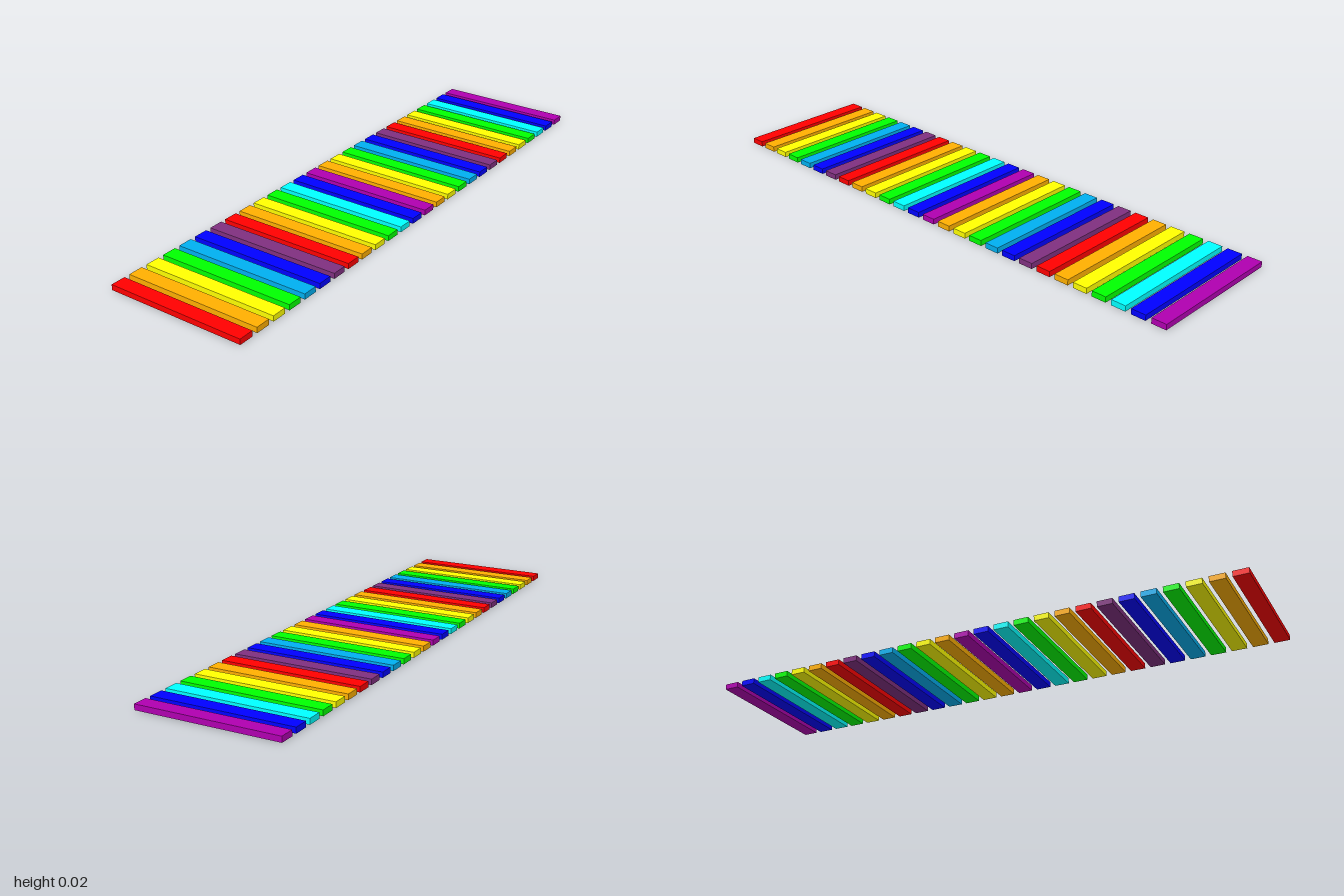
import * as THREE from 'three';

const RED = 0xff0000, ORANGE = 0xffb000, YELLOW = 0xffff00, GREEN = 0x00ff00, SKY = 0x00b0f0,
  CYAN = 0x00ffff, BLUE = 0x0000ff, PLUM = 0x803080, PURPLE = 0xb000b0;

// Slat colours from front to back
const COLORS = [
  RED, ORANGE, YELLOW, GREEN, SKY, BLUE, PLUM,
  RED, ORANGE, YELLOW, GREEN, CYAN, BLUE, PURPLE,
  ORANGE, YELLOW, GREEN, SKY, BLUE, PLUM,
  RED, ORANGE, YELLOW, GREEN, CYAN, BLUE, PURPLE,
];

const LENGTH = 2, WIDTH = 0.52, HEIGHT = 0.02, DEPTH = 0.054;

export function createModel() {
  const model = new THREE.Group();
  model.name = 'rainbowWalkway';

  const slatGeometry = new THREE.BoxGeometry(WIDTH, HEIGHT, DEPTH);
  const pitch = (LENGTH - DEPTH) / (COLORS.length - 1);
  const materials = new Map();

  // Evenly spaced slats, one material per colour
  COLORS.forEach((color, i) => {
    if (!materials.has(color)) materials.set(color, new THREE.MeshStandardMaterial({ color }));
    const slat = new THREE.Mesh(slatGeometry, materials.get(color));
    slat.name = `slat${i + 1}`;
    slat.position.set(0, HEIGHT / 2, (LENGTH - DEPTH) / 2 - i * pitch);
    model.add(slat);
  });

  return model;
}
